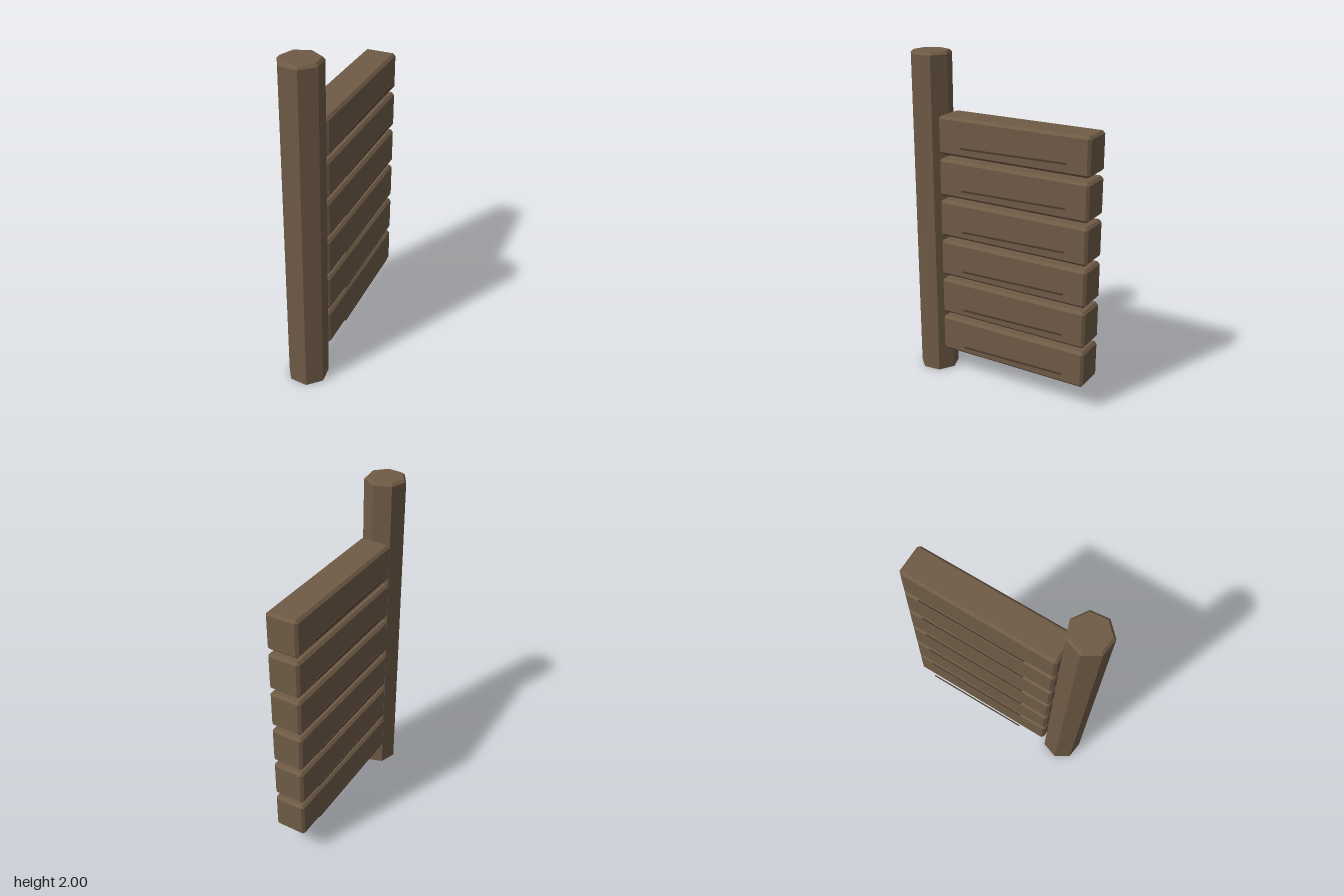
import * as THREE from 'three';
import { ConvexGeometry } from 'three/addons/geometries/ConvexGeometry.js';

const wood = new THREE.MeshStandardMaterial({ color: 0x6f5b46, flatShading: true });
wood.name = 'brown wood';
const grain = new THREE.MeshStandardMaterial({ color: 0x4a3a2f, flatShading: true });
grain.name = 'dark grain';

// Box with every edge chamfered by c
function chamferedBox(w, h, d, c) {
  const points = [];
  for (const sx of [-1, 1]) for (const sy of [-1, 1]) for (const sz of [-1, 1]) {
    for (let axis = 0; axis < 3; axis++) {
      const inset = [c, c, c];
      inset[axis] = 0;
      points.push(new THREE.Vector3(
        sx * (w / 2 - inset[0]), sy * (h / 2 - inset[1]), sz * (d / 2 - inset[2])));
    }
  }
  return new ConvexGeometry(points);
}

function add(parent, name, geometry, material, x, y, z) {
  const mesh = new THREE.Mesh(geometry, material);
  mesh.name = name;
  mesh.position.set(x, y, z);
  parent.add(mesh);
  return mesh;
}

export function createModel() {
  const model = new THREE.Group();
  model.name = 'woodenGate';

  // Seven-sided post with a bevelled top
  const R = 0.121;
  const profile = [[0, 0], [R, 0], [R, 1.985], [R - 0.015, 2], [0, 2]]
    .map(([r, y]) => new THREE.Vector2(r, y));
  const post = add(model, 'post', new THREE.LatheGeometry(profile, 7), wood, -0.346, 0, 0.349);
  post.rotation.y = Math.PI;

  // Gate leaf swung open at 45 degrees
  const leaf = new THREE.Group();
  leaf.name = 'gateLeaf';
  leaf.rotation.y = Math.PI / 4;
  model.add(leaf);

  const plankGeometry = chamferedBox(0.962, 0.225, 0.194, 0.015);
  const grainGeometry = new THREE.BoxGeometry(0.663, 0.01, 0.006);
  for (let i = 0; i < 6; i++) {
    const y = 0.277 + i * 0.2515;
    add(leaf, 'plank', plankGeometry, wood, 0.089, y, 0);
    // Slightly tilted grain strip standing off each side
    for (const side of [-1, 1]) {
      const strip = add(leaf, 'grainStrip', grainGeometry, grain, 0.11, y - 0.046, side * 0.122);
      strip.rotation.z = side * 0.017;
    }
  }
  return model;
}
